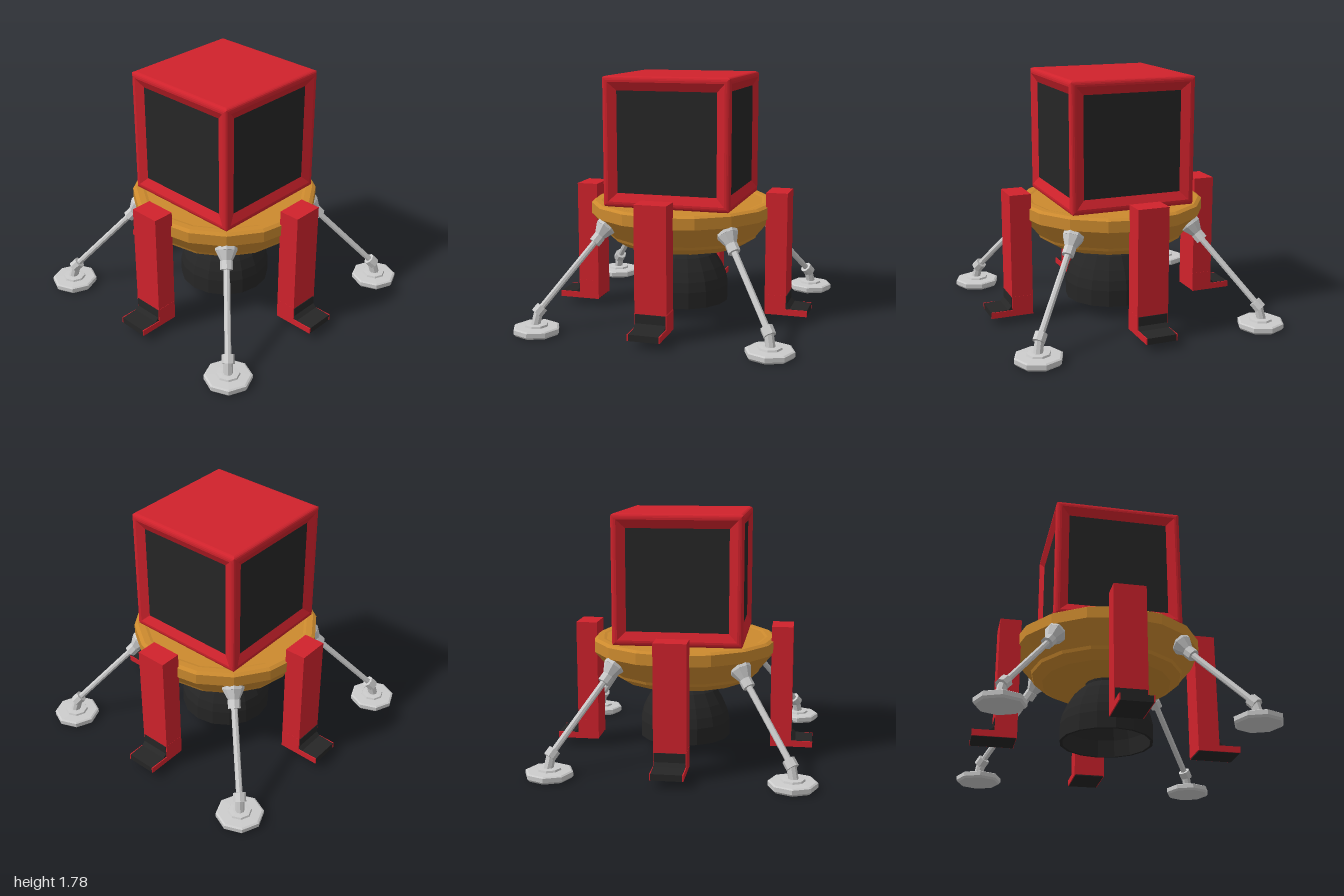
import * as THREE from 'three';

const mat = (color) => new THREE.MeshStandardMaterial({ color, flatShading: true, side: THREE.DoubleSide });

export function createModel() {
  const red = mat(0xd0222c), gold = mat(0xcc8a2e), dark = mat(0x262626), grey = mat(0xcccccc);
  const model = new THREE.Group();

  const add = (parent, name, geometry, material, x = 0, y = 0, z = 0) => {
    const mesh = new THREE.Mesh(geometry, material);
    mesh.name = name;
    mesh.position.set(x, y, z);
    parent.add(mesh);
    return mesh;
  };
  const group = (parent, name) => {
    const g = new THREE.Group();
    g.name = name;
    parent.add(g);
    return g;
  };
  const lathe = (points, sides, start = 0) =>
    new THREE.LatheGeometry(points.map(([r, y]) => new THREE.Vector2(r, y)), sides, start);
  // Four-sided lathe: the radius is the half width of a square ring
  const square = (points) => lathe(points.map(([r, y]) => [r * Math.SQRT2, y]), 4, Math.PI / 4);

  // Cabin: four framed windows, plain roof and floor, softened edges
  const cabin = group(model, 'cabin');
  cabin.position.y = 1.315;
  const edge = [[0.455, 0.455], [0.447, 0.46], [0.436, 0.463]];
  const frame = square([...edge, [0.422, 0.463], [0.362, 0.433]]);
  const plain = square([...edge, [0, 0.463]]);
  for (let i = 0; i < 4; i++) {
    const side = group(cabin, 'cabinSide');
    side.rotation.y = i * Math.PI / 2;
    add(side, 'windowFrame', frame, red).rotation.x = Math.PI / 2;
    add(side, 'window', new THREE.PlaneGeometry(0.724, 0.724), dark, 0, 0, 0.433);
  }
  add(cabin, 'roof', plain, red);
  add(cabin, 'floor', plain, red).rotation.x = Math.PI;

  // Round deck under the cabin
  add(model, 'deck', lathe([
    [0, 0.54], [0.47, 0.54], [0.545, 0.588], [0.555, 0.61], [0.68, 0.76],
    [0.68, 0.84], [0.655, 0.855], [0.61, 0.855], [0.59, 0.85], [0, 0.85],
  ], 16), gold);

  // Hollow engine bell
  add(model, 'engineBell', lathe([
    [0, 0.48], [0.14, 0.48], [0.25, 0.37], [0.3, 0.22], [0.315, 0.1], [0.335, 0.1], [0.335, 0.22],
    [0.32, 0.29], [0.29, 0.36], [0.235, 0.45], [0.155, 0.52], [0.155, 0.55],
  ], 16), dark);

  // Profile in (distance from axis, height), extruded across the fin's width
  const extrudeSide = (points, width) => {
    const shape = new THREE.Shape(points.map(([r, y]) => new THREE.Vector2(r, y)));
    return new THREE.ExtrudeGeometry(shape, { depth: width, bevelEnabled: false })
      .translate(0, 0, -width / 2).rotateY(-Math.PI / 2);
  };
  const footPlate = extrudeSide([[0.645, 0.055], [0.955, 0.055], [0.955, 0.1], [0.8, 0.1], [0.8, 0.2], [0.645, 0.2]], 0.008);
  const footCore = extrudeSide([[0.65, 0.053], [0.953, 0.053], [0.953, 0.098], [0.83, 0.104], [0.804, 0.13], [0.804, 0.195], [0.65, 0.195]], 0.216);

  // Four upright fins with dark feet
  for (let i = 0; i < 4; i++) {
    const fin = group(model, 'fin');
    fin.rotation.y = i * Math.PI / 2;
    add(fin, 'finPost', new THREE.BoxGeometry(0.228, 0.89, 0.155), red, 0, 0.505, 0.7225);
    add(fin, 'footCore', footCore, dark);
    for (const s of [-1, 1]) add(fin, 'footSidePlate', footPlate, red, s * 0.111, 0, 0);
  }

  // Tapered rod between two points (distance from axis, height) in the leg's plane
  const rod = (parent, name, [r0, y0], [r1, y1], radius0, radius1 = radius0) => {
    const length = Math.hypot(r1 - r0, y1 - y0);
    const mesh = add(parent, name, new THREE.CylinderGeometry(radius1, radius0, length, 8),
      grey, 0, (y0 + y1) / 2, (r0 + r1) / 2);
    mesh.rotation.x = Math.atan2(r1 - r0, y1 - y0);
  };
  const D = Math.SQRT2;

  // Four diagonal landing legs with octagonal pads
  for (let i = 0; i < 4; i++) {
    const leg = group(model, 'landingLeg');
    leg.rotation.y = Math.PI / 4 + i * Math.PI / 2;
    const pad = lathe([[0, 0], [0.155, 0], [0.168, 0.015], [0.168, 0.045], [0.155, 0.052],
      [0.085, 0.055], [0.08, 0.068], [0.05, 0.07], [0, 0.07]], 8, Math.PI / 4);
    add(leg, 'footPad', pad, grey, 0, 0, 0.83 * D);
    rod(leg, 'ankle', [0.835 * D, 0.06], [0.815 * D, 0.16], 0.034);
    rod(leg, 'lowerCollar', [0.828 * D, 0.14], [0.797 * D, 0.185], 0.045);
    rod(leg, 'strut', [0.815 * D, 0.16], [0.49 * D, 0.63], 0.023);
    rod(leg, 'upperCollar', [0.512 * D, 0.598], [0.482 * D, 0.642], 0.045);
    rod(leg, 'bracket', [0.488 * D, 0.635], [0.45 * D, 0.7], 0.036, 0.078);
    rod(leg, 'bracketBase', [0.45 * D, 0.7], [0.438 * D, 0.72], 0.078);
  }

  return model;
}
